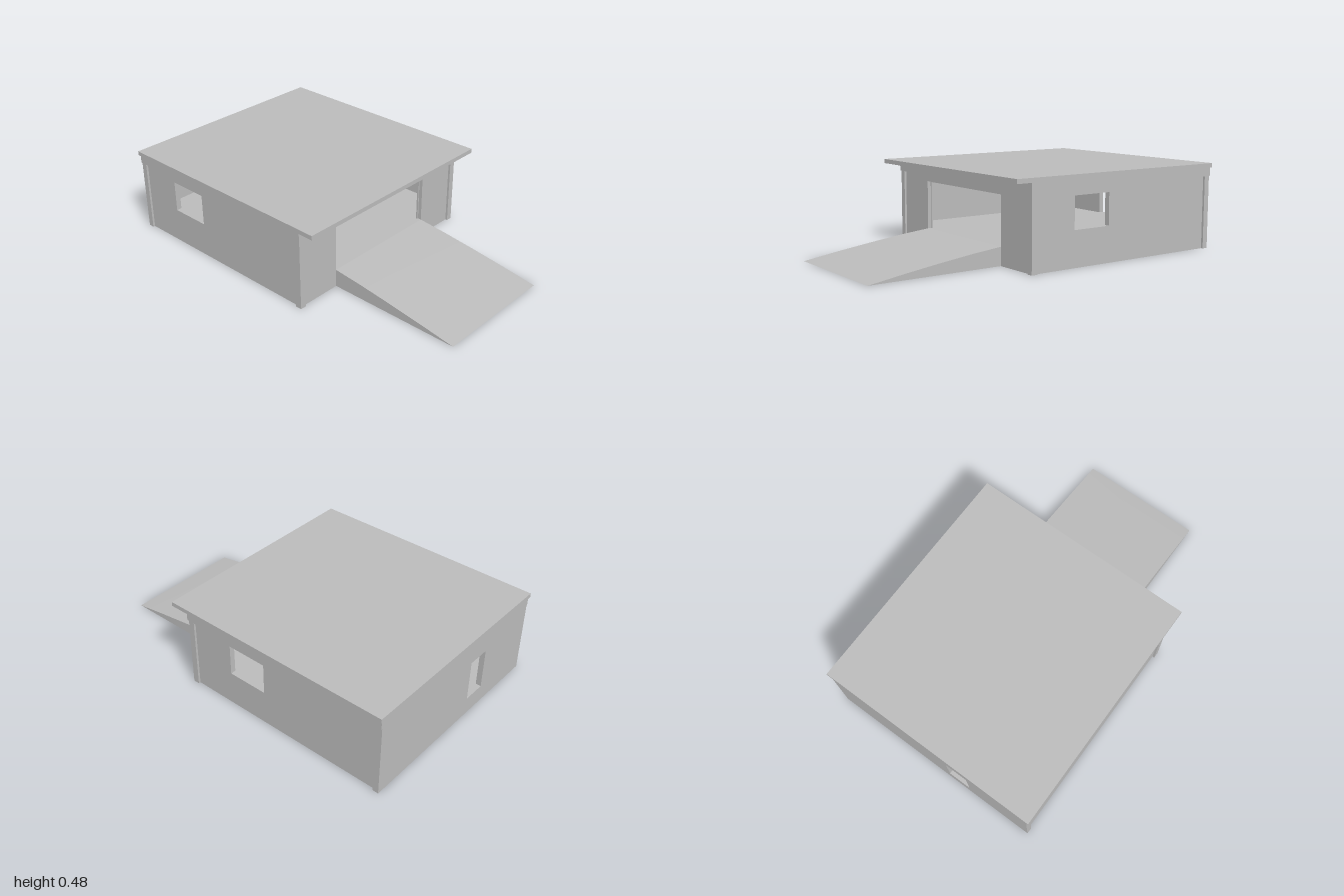
import * as THREE from 'three';

export function createModel() {
  const model = new THREE.Group();
  const grey = new THREE.MeshStandardMaterial({ color: 0xbbbbbb });
  grey.name = 'plain grey';
  grey.side = THREE.DoubleSide;

  const FLOOR = 0.1, TOP = 0.457, T = 0.03;
  const EAST = 0.238, WEST = -0.995, SIDE = 0.612, PROUD = 0.012;

  function add(name, geometry) {
    const mesh = new THREE.Mesh(geometry, grey);
    mesh.name = name;
    model.add(mesh);
    return mesh;
  }
  // Box given by its limits on each axis
  function box(name, x0, x1, y0, y1, z0, z1) {
    const g = new THREE.BoxGeometry(x1 - x0, y1 - y0, z1 - z0);
    g.translate((x0 + x1) / 2, (y0 + y1) / 2, (z0 + z1) / 2);
    return add(name, g);
  }
  // Wall from the floor up: a window is a hole, a doorway is a notch
  function wall(name, u0, u1, { window: w, door: d }) {
    const pts = [[u0, FLOOR]];
    if (d) pts.push([d[0], FLOOR], [d[0], d[2]], [d[1], d[2]], [d[1], FLOOR]);
    pts.push([u1, FLOOR], [u1, TOP], [u0, TOP]);
    const shape = new THREE.Shape(pts.map(p => new THREE.Vector2(...p)));
    if (w) {
      const [a, b, c, e] = w;
      shape.holes.push(new THREE.Path([[a, c], [a, e], [b, e], [b, c]].map(p => new THREE.Vector2(...p))));
    }
    return add(name, new THREE.ExtrudeGeometry(shape, { depth: T, bevelEnabled: false }));
  }

  // Four walls
  wall('frontWall', WEST, EAST, { window: [-0.73, -0.5, 0.195, 0.37] }).position.z = SIDE - T;
  wall('backWall', WEST, EAST, { window: [-0.26, -0.03, 0.195, 0.37] }).position.z = -SIDE;
  const east = wall('garageWall', -0.6, 0.6, { door: [-0.352, 0.352, 0.37] });
  east.rotation.y = -Math.PI / 2;
  east.position.x = EAST;
  const west = wall('doorWall', -SIDE, SIDE, { door: [0.113, 0.243, 0.333] });
  west.rotation.y = -Math.PI / 2;
  west.position.x = WEST + T;

  // Raised floor with an open, thin-walled base below it
  const s = 0.004;
  box('floor', WEST + s, EAST, FLOOR - 0.006, FLOOR, -SIDE + s, SIDE - s);
  box('doorBase', WEST, WEST + s, 0, FLOOR, -SIDE, SIDE);
  for (const k of [-1, 1]) {
    const sided = (name, x0, x1, y0, y1, za, zb) =>
      box(name, x0, x1, y0, y1, Math.min(k * za, k * zb), Math.max(k * za, k * zb));
    sided('sideBase', WEST, EAST, 0, FLOOR, SIDE - s, SIDE);
    sided('garageBase', EAST - s, EAST, 0, FLOOR, 0.352, SIDE);
    // Corner pilasters
    sided('rearPilaster', WEST, -0.962, 0, 0.41, SIDE, SIDE + PROUD);
    sided('cornerPilaster', 0.215, 0.25, 0, 0.41, SIDE, SIDE + PROUD);
    sided('cornerPilaster', EAST, 0.25, 0, 0.41, 0.59, SIDE);
    // Frieze along the sides
    sided('sideFrieze', WEST, 0.255, 0.408, TOP, SIDE - 0.01, 0.63);
    // Inner lip of the garage opening
    sided('garageJamb', EAST - T, EAST - T + 0.01, FLOOR, 0.37, 0.346, 0.352);
  }
  box('garageFrieze', EAST - 0.01, 0.255, 0.408, TOP, -0.62, 0.62);
  box('garageLintel', EAST - T, EAST - T + 0.01, 0.364, 0.37, -0.352, 0.352);

  // Flat roof, overhanging the garage opening
  box('roof', -1, 0.353, 0.456, 0.48, -0.64, 0.64);

  // Ramp: bent deck with two side cheeks, open underneath
  const profile = [[EAST, FLOOR], [0.4, 0.084], [0.6, 0.059], [0.8, 0.031], [1, 0]];
  const deckGeo = new THREE.PlaneGeometry(1, 1, profile.length - 1, 1);
  const pos = deckGeo.attributes.position;
  for (let i = 0; i < pos.count; i++) {
    const [x, y] = profile[i % profile.length];
    pos.setXYZ(i, x, y, i < profile.length ? -0.352 : 0.352);
  }
  deckGeo.computeVertexNormals();
  add('rampDeck', deckGeo);
  const cheek = new THREE.Shape([[EAST, 0], ...profile].map(p => new THREE.Vector2(...p)));
  add('rampCheek', new THREE.ShapeGeometry(cheek)).position.z = 0.352;
  const farCheek = add('rampCheek', new THREE.ShapeGeometry(cheek));
  farCheek.scale.z = -1;
  farCheek.position.z = -0.352;

  return model;
}
